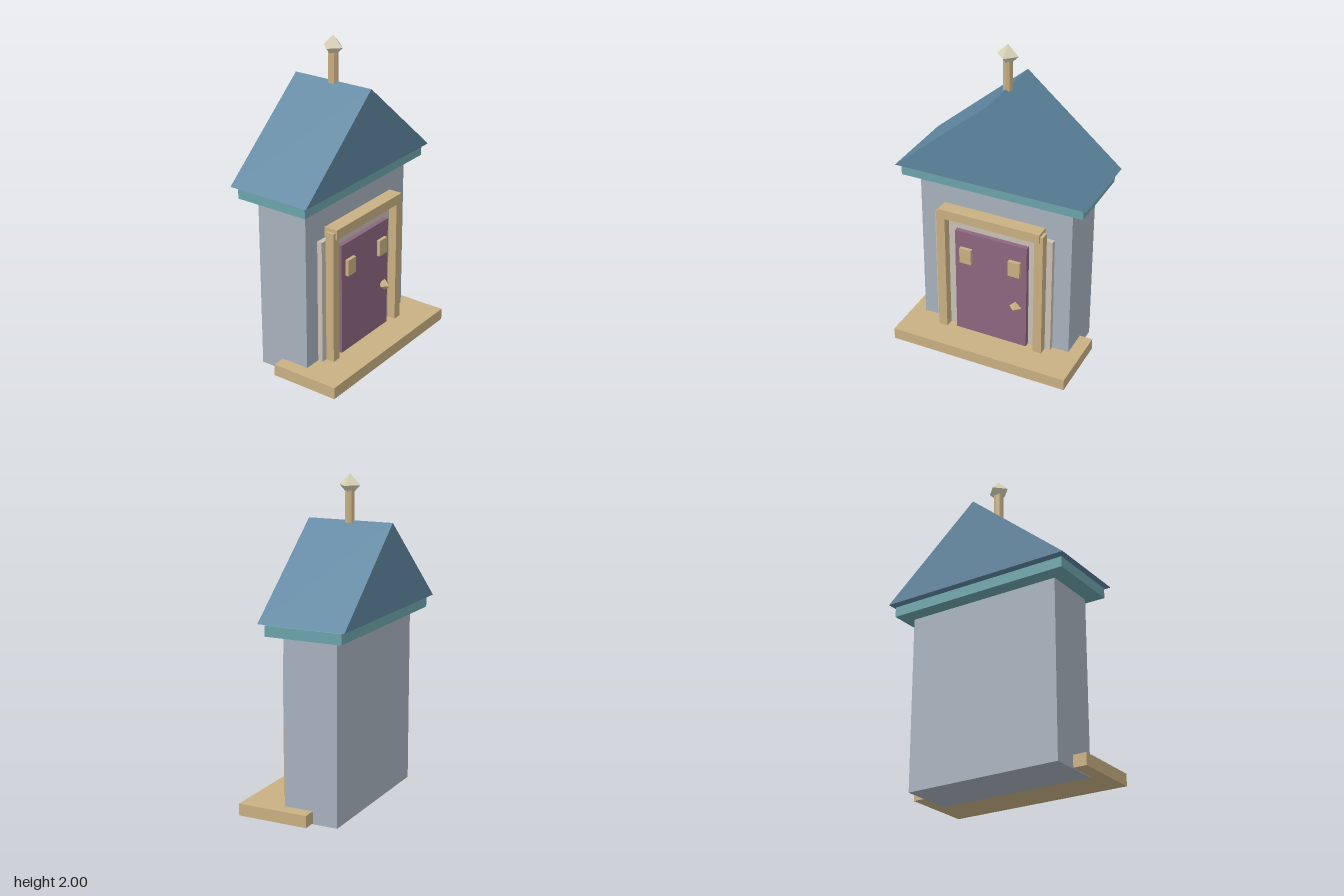
import * as THREE from 'three';

const material = (name, color) => {
  const m = new THREE.MeshStandardMaterial({ color, flatShading: true });
  m.name = name;
  return m;
};

export function createModel() {
  const model = new THREE.Group();
  model.name = 'house';

  const wallGrey = material('wall grey', 0xa7b1bd);
  const stone = material('pale stone', 0xc8c0b6);
  const plum = material('door plum', 0x8d6680);
  const tan = material('tan trim', 0xc9b083);
  const teal = material('eave teal', 0x6ba4aa);
  const blue = material('roof blue', 0x5e86a0);
  const cream = material('finial cream', 0xd8d2b6);

  const add = (name, geometry, mat, x = 0, y = 0, z = 0) => {
    const mesh = new THREE.Mesh(geometry, mat);
    mesh.name = name;
    mesh.position.set(x, y, z);
    model.add(mesh);
    return mesh;
  };

  // Box given by its limits on each axis
  const box = (name, mat, [x0, x1], [y0, y1], [z0, z1]) =>
    add(name, new THREE.BoxGeometry(x1 - x0, y1 - y0, z1 - z0), mat,
      (x0 + x1) / 2, (y0 + y1) / 2, (z0 + z1) / 2);

  // Walls, doorstep and eaves
  box('walls', wallGrey, [-0.505, 0.505], [0, 1.103], [-0.25, 0.095]);
  box('doorstep', tan, [-0.59, 0.59], [0.005, 0.08], [-0.09, 0.36]);
  box('eaves', teal, [-0.597, 0.597], [1.118, 1.182], [-0.322, 0.165]);

  // Gabled roof
  const gable = new THREE.Shape([
    new THREE.Vector2(-0.625, 1.193),
    new THREE.Vector2(0.625, 1.193),
    new THREE.Vector2(0, 1.725),
  ]);
  const roof = new THREE.ExtrudeGeometry(gable, { depth: 0.55, bevelEnabled: false });
  add('roof', roof, blue, 0, 0, -0.355);

  // Doorway
  box('doorSurround', stone, [-0.395, 0.395], [0.06, 0.88], [0.09, 0.128]);
  box('door', plum, [-0.242, 0.242], [0.07, 0.81], [0.12, 0.16]);
  box('lintel', tan, [-0.337, 0.337], [0.895, 0.956], [0.105, 0.195]);
  for (const s of [-1, 1]) {
    const side = s < 0 ? 'right' : 'left';
    box(side + 'DoorPost', tan, s < 0 ? [-0.357, -0.3] : [0.3, 0.357], [0.07, 0.936], [0.126, 0.184]);
    box(side + 'DoorWindow', tan, s < 0 ? [-0.204, -0.125] : [0.125, 0.204], [0.598, 0.703], [0.155, 0.182]);
  }
  add('doorKnob', new THREE.OctahedronGeometry(0.04), tan, 0.18, 0.38, 0.183);

  // Ridge post with a faceted finial
  add('ridgePost', new THREE.CylinderGeometry(0.03, 0.03, 0.19, 8), tan, 0, 1.807, -0.077);
  add('finial', new THREE.OctahedronGeometry(0.068), cream, 0, 1.932, -0.077);

  return model;
}
